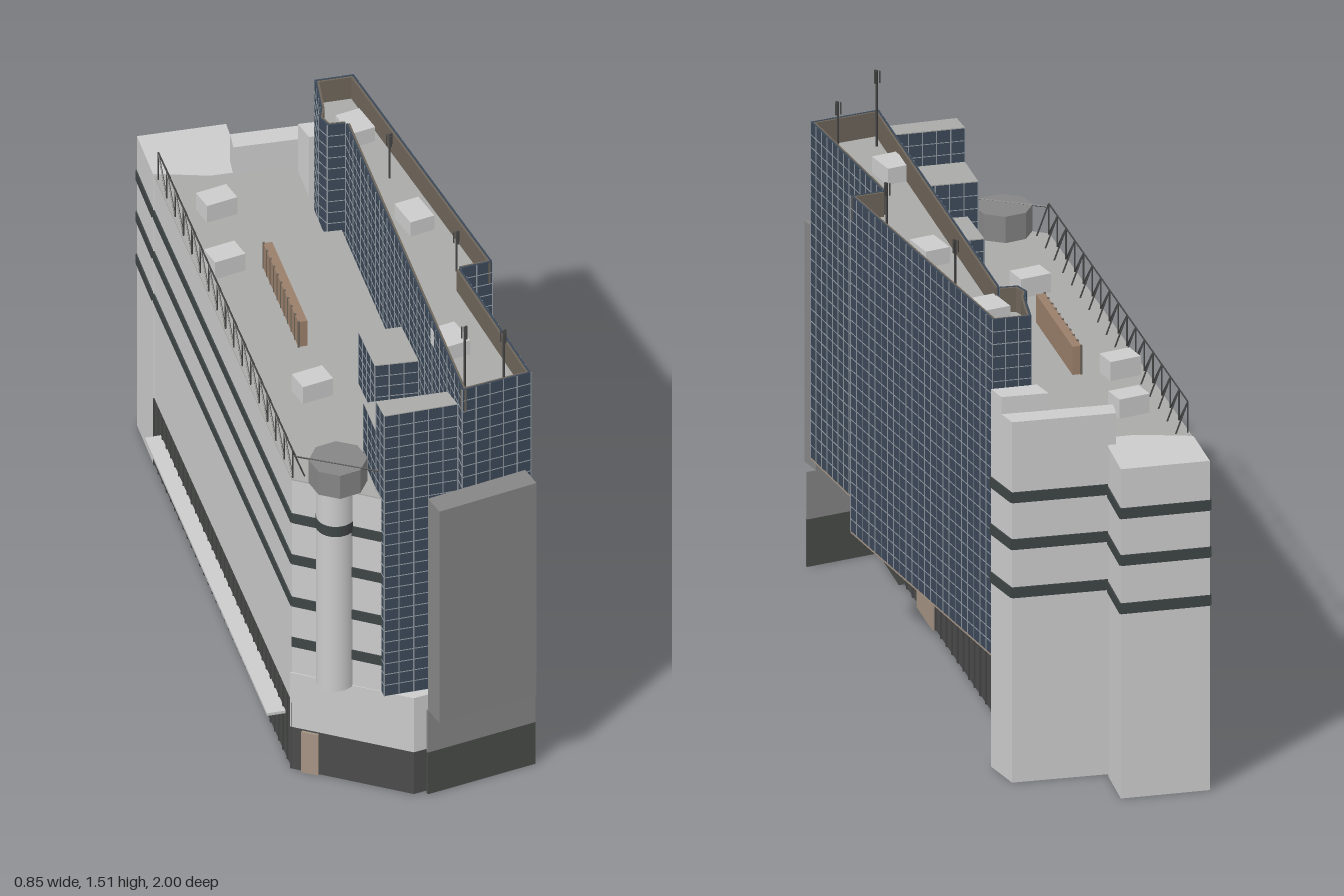
import * as THREE from 'three';

const mat = (color) => new THREE.MeshStandardMaterial({ color, flatShading: true });
const M = {
  grey: mat(0xcccccc), roof: mat(0xaaaaa8), slab: mat(0x858585), glass: mat(0x3c4858),
  line: mat(0x8d959c), dark: mat(0x4a4c4a), band: mat(0x3e4444), beige: mat(0xa59484),
  brown: mat(0x9a7f6b), steel: mat(0x444444), inner: mat(0x6e655a),
};

// Plan outlines as [x, z], ordered so that the outside lies on the left of travel
const MAIN = [[-0.09, -0.81], [0.04, -0.78], [0.05, -0.74], [0.285, -0.67], [0.215, -0.36],
  [0.265, -0.345], [0, 0.9], [-0.2, 0.85], [-0.39, 0.65]];
const TOWER = [[0.3, -0.585], [0.41, -0.56], [0.36, 0.41], [0.265, 0.4], [0.22, 0.93],
  [0.01, 0.92], [0.285, -0.36], [0.235, -0.375], [0.23, -0.42], [0.255, -0.46]];
const PODIUM = [[-0.3, 0.6], [0.06, 0.7], [0.01, 0.92], [-0.14, 0.915], [-0.395, 0.65]];
const FRONT_GLASS = [[-0.2, 0.8], [0, 0.845], [0, 0.91], [-0.21, 0.87]];
const STAIR_BLOCK = [[-0.17, 0.66], [0.03, 0.71], [0, 0.845], [-0.2, 0.8]];
const PENTHOUSE = [[-0.02, 0.33], [0.1, 0.36], [0.07, 0.525], [-0.05, 0.49]];
const BACK_BLOCK = [[-0.05, -1], [0.2, -0.94], [0.16, -0.785], [0.13, -0.72], [0.05, -0.74], [-0.09, -0.82]];
const BACK_WING = [[0.13, -0.775], [0.42, -0.7], [0.42, -0.635], [0.11, -0.715]];
const BACK_CORNER = [[0.29, -0.67], [0.42, -0.635], [0.42, -0.57], [0.29, -0.6]];

export function createModel() {
  const root = new THREE.Group();
  const add = (name, geo, material, x = 0, y = 0, z = 0, ry = 0, parent = root) => {
    const m = new THREE.Mesh(geo, material);
    m.name = name;
    m.position.set(x, y, z);
    m.rotation.y = ry;
    parent.add(m);
    return m;
  };
  const group = (name) => {
    const g = new THREE.Group();
    g.name = name;
    root.add(g);
    return g;
  };

  // Upright prism over a plan outline
  const prism = (name, pts, y0, y1, material) => {
    const s = new THREE.Shape(pts.map(([x, z]) => new THREE.Vector2(x, -z)));
    const g = new THREE.ExtrudeGeometry(s, { depth: y1 - y0, bevelEnabled: false });
    g.rotateX(-Math.PI / 2);
    return add(name, g, material, 0, y0);
  };

  // Straight wall strip between two plan points, pushed outwards by off
  const strip = (name, p, q, y0, y1, t, off, material, parent = root) => {
    const dx = q[0] - p[0], dz = q[1] - p[1], L = Math.hypot(dx, dz);
    return add(name, new THREE.BoxGeometry(L, y1 - y0, t), material,
      (p[0] + q[0]) / 2 + dz / L * off, (y0 + y1) / 2, (p[1] + q[1]) / 2 - dx / L * off,
      -Math.atan2(dz, dx), parent);
  };
  const edges = (pts) => pts.map((p, i) => [p, pts[(i + 1) % pts.length]]);
  const lerp = (p, q, t) => [p[0] + (q[0] - p[0]) * t, p[1] + (q[1] - p[1]) * t];

  // Vertical mullions along an edge
  const posts = (name, p, q, y0, y1, step, w, material, parent) => {
    const L = Math.hypot(q[0] - p[0], q[1] - p[1]);
    const n = Math.max(1, Math.round(L / step));
    for (let i = 0; i <= n; i++) {
      const a = lerp(p, q, i / n);
      add(name, new THREE.BoxGeometry(w, y1 - y0, w), material, a[0], (y0 + y1) / 2, a[1],
        -Math.atan2(q[1] - p[1], q[0] - p[0]), parent);
    }
  };

  // Curtain-wall grid on every edge of an outline
  const curtain = (name, pts, y0, y1) => {
    const g = group(name);
    for (const [p, q] of edges(pts)) {
      posts('mullion', p, q, y0, y1, 0.042, 0.003, M.line, g);
      const n = Math.round((y1 - y0) / 0.038);
      for (let i = 1; i < n; i++) {
        const y = y0 + (y1 - y0) * i / n;
        strip('transom', p, q, y - 0.001, y + 0.001, 0.003, 0, M.line, g);
      }
    }
  };

  // Parapet with glass outside and a warm lining inside
  const parapet = (name, pts, y0, y1) => {
    const g = group(name);
    for (const [p, q] of edges(pts)) {
      strip('parapetGlass', p, q, y0, y1, 0.006, -0.003, M.glass, g);
      strip('parapetLining', p, q, y0, y1 - 0.001, 0.006, -0.009, M.inner, g);
    }
  };

  // Main block: shopfront, solid walls, roof
  prism('shopfront', MAIN, 0, 0.23, M.dark);
  prism('mainBlock', MAIN, 0.23, 1, M.grey);
  prism('mainRoof', MAIN, 1, 1.004, M.roof);
  const shop = group('shopfrontPosts');
  posts('post', MAIN[8], MAIN[0], 0, 0.23, 0.045, 0.006, M.steel, shop);
  posts('post', MAIN[5], MAIN[6], 0, 0.23, 0.06, 0.008, M.steel, shop);
  strip('shopPanel', lerp(MAIN[5], MAIN[6], 0.57), lerp(MAIN[5], MAIN[6], 0.705), 0, 0.229, 0.012, 0.004, M.beige);
  strip('sideCanopy', [-0.4, 0.58], [-0.12, -0.745], 0.143, 0.152, 0.06, 0, M.grey);

  // Window bands wrapping the solid walls
  const bands = group('windowBands');
  const banded = [[MAIN[8], MAIN[0]], [MAIN[7], MAIN[8]], [BACK_BLOCK[5], BACK_BLOCK[0]],
    [BACK_BLOCK[0], BACK_BLOCK[1]], [BACK_BLOCK[1], BACK_BLOCK[2]],
    [BACK_WING[0], BACK_WING[1]], [BACK_WING[1], BACK_CORNER[2]]];
  for (const y of [0.58, 0.727, 0.87]) {
    for (const [p, q] of banded) strip('windowBand', p, q, y - 0.016, y + 0.016, 0.008, 0, M.band, bands);
  }
  strip('windowBand', MAIN[7], MAIN[8], 0.424, 0.456, 0.008, 0, M.band, bands);

  // Podium at the front with a thin screen below the big panel
  prism('podiumGlass', PODIUM, 0, 0.145, M.dark);
  prism('podium', PODIUM, 0.145, 0.333, M.grey);
  strip('screenGlass', [0.23, 0.935], [-0.105, 0.93], 0, 0.145, 0.008, 0, M.dark);
  strip('screenPanel', [0.23, 0.935], [-0.105, 0.93], 0.145, 0.29, 0.008, 0, M.slab);
  add('podiumDoor', new THREE.BoxGeometry(0.05, 0.14, 0.01), M.beige, -0.355, 0.07, 0.695, -Math.PI / 4);
  add('frontPanel', new THREE.BoxGeometry(0.305, 0.735, 0.07), M.slab, 0.05, 0.6575, 0.965);

  // Glass tower overhanging the street
  prism('towerSoffit', TOWER, 0.328, 0.334, M.beige);
  prism('tower', TOWER, 0.334, 1.28, M.glass);
  prism('towerRoof', TOWER, 1.28, 1.283, M.roof);
  parapet('towerParapet', TOWER, 1.28, 1.358);
  curtain('towerGrid', TOWER, 0.334, 1.358);

  // Lower glass volumes beside the tower
  for (const [name, pts, y0, y1] of [['frontGlass', FRONT_GLASS, 0.334, 1.305],
    ['stairBlock', STAIR_BLOCK, 1, 1.2], ['penthouse', PENTHOUSE, 1, 1.18]]) {
    prism(name, pts, y0, y1, M.glass);
    prism(name + 'Roof', pts, y1, y1 + 0.003, M.roof);
    curtain(name + 'Grid', pts, y0, y1);
  }

  // Solid service blocks at the back
  prism('backBlock', BACK_BLOCK, 0, 1.005, M.grey);
  prism('backWing', BACK_WING, 0, 1.1, M.grey);
  prism('backCorner', BACK_CORNER, 0, 1.152, M.grey);

  // Round corner column with an eight-sided cap
  add('cornerColumn', new THREE.CylinderGeometry(0.055, 0.055, 0.68, 32),
    new THREE.MeshStandardMaterial({ color: 0xcccccc }), -0.295, 0.67, 0.735);
  add('columnBand', new THREE.CylinderGeometry(0.057, 0.057, 0.034, 32), M.band, -0.295, 0.885, 0.735);
  add('columnCap', new THREE.CylinderGeometry(0.083, 0.083, 0.08, 8), M.slab, -0.28, 1.045, 0.72, Math.PI / 8);

  // Truss railing along the roof edge
  const rail = group('trussRailing');
  const rod = (a, b, r = 0.0025) => {
    const va = new THREE.Vector3(...a), d = new THREE.Vector3(...b).sub(va);
    const m = add('rod', new THREE.CylinderGeometry(r, r, d.length(), 5), M.steel, 0, 0, 0, 0, rail);
    m.position.copy(va).addScaledVector(d, 0.5);
    m.quaternion.setFromUnitVectors(new THREE.Vector3(0, 1, 0), d.normalize());
  };
  const bays = 16;
  for (let i = 0; i <= bays; i++) {
    const a = lerp([-0.385, 0.645], [-0.088, -0.79], i / bays);
    const b = lerp([-0.385, 0.645], [-0.088, -0.79], (i + 1) / bays);
    rod([a[0], 1, a[1]], [a[0], 1.098, a[1]]);
    rod([a[0], 1.098, a[1]], [a[0] + 0.035, 1, a[1] + 0.008]);
    if (i === bays) break;
    rod([a[0], 1.098, a[1]], [b[0], 1.098, b[1]]);
    rod([a[0], 1.005, a[1]], [b[0], 1.098, b[1]]);
  }
  rod([-0.385, 1.085, 0.655], [-0.2, 1.085, 0.83]);

  // Roof plant boxes and the brown louvred screen
  for (const [x, z] of [[-0.01, -0.58], [-0.11, -0.33], [-0.155, 0.31]])
    add('roofUnit', new THREE.BoxGeometry(0.095, 0.06, 0.07), M.grey, x, 1.032, z);
  for (const [x, z] of [[0.33, -0.39], [0.29, 0.06], [0.115, 0.635]])
    add('towerRoofUnit', new THREE.BoxGeometry(0.075, 0.05, 0.1), M.grey, x, 1.307, z);
  strip('louvreScreen', [-0.08, 0.1], [0, -0.28], 1, 1.09, 0.026, 0, M.brown);
  const slats = group('louvreSlats');
  posts('slat', [-0.092, 0.098], [-0.012, -0.282], 1, 1.093, 0.04, 0.006, M.inner, slats);

  // Antenna masts
  for (const [x, z, top] of [[0.055, 0.845, 1.515], [0.185, 0.83, 1.45], [0.295, 0.315, 1.42], [0.325, -0.165, 1.435]]) {
    const g = group('antenna');
    add('mast', new THREE.CylinderGeometry(0.003, 0.003, top - 1.28, 6), M.steel, x, (top + 1.28) / 2, z, 0, g);
    for (let k = 0; k < 3; k++) {
      const a = k * Math.PI * 2 / 3;
      add('aerial', new THREE.BoxGeometry(0.006, 0.036, 0.004), M.steel,
        x + Math.sin(a) * 0.008, top - 0.02, z + Math.cos(a) * 0.008, a, g);
    }
  }
  return root;
}
